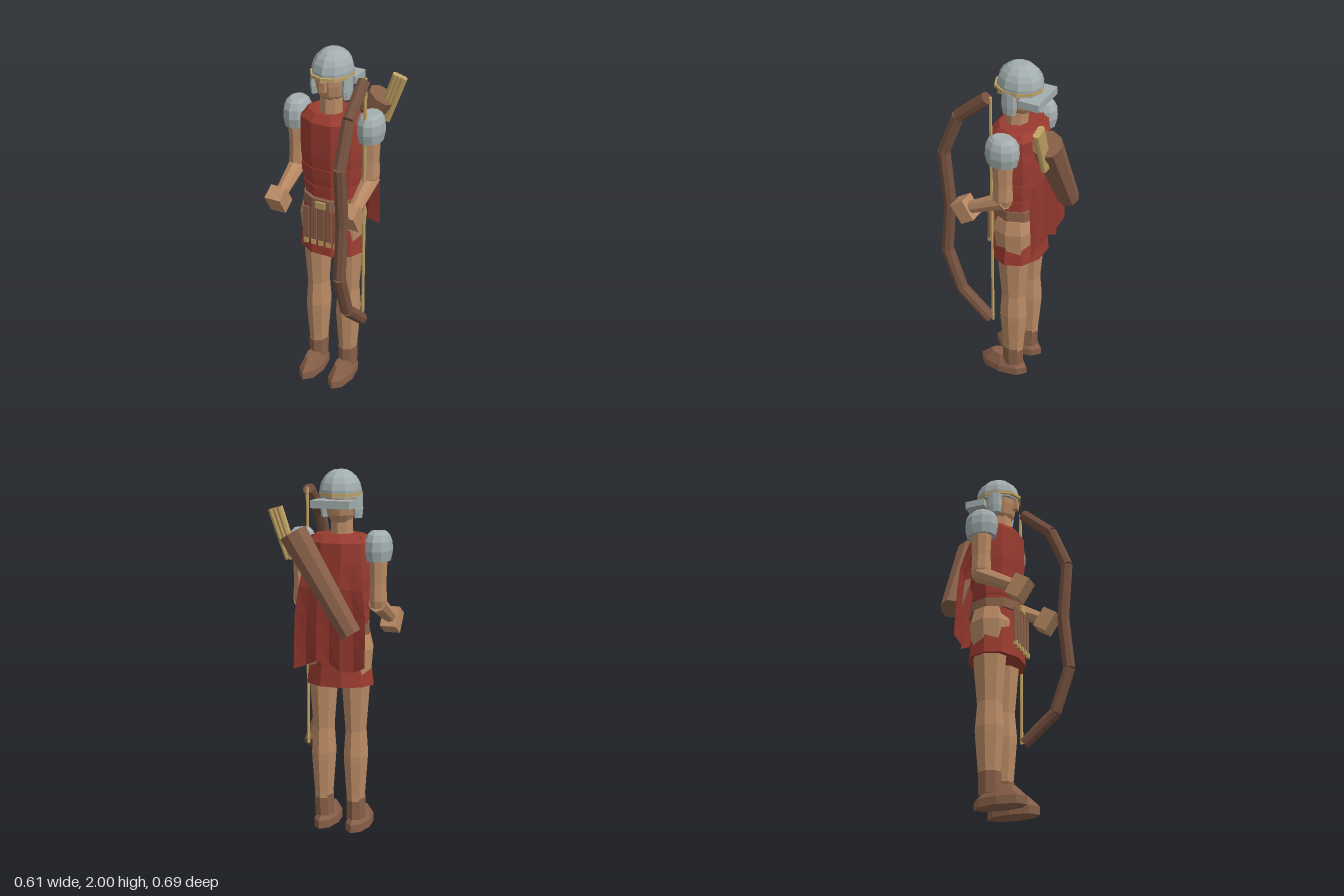
import * as THREE from 'three';

const mat = (name, color) => {
  const m = new THREE.MeshStandardMaterial({ color, flatShading: true });
  m.name = name;
  return m;
};

export function createModel() {
  const root = new THREE.Group();
  root.name = 'archer';
  const body = new THREE.Group();
  body.name = 'body';
  body.position.x = -0.013;
  root.add(body);

  const skin = mat('skin', 0xb98a64);
  const red = mat('red cloth', 0x9a3b30);
  const steel = mat('steel', 0xa3aeae);
  const leather = mat('leather', 0x875f48);
  const wood = mat('bow wood', 0x75513f);
  const gold = mat('brass', 0xbfa163);
  const cloak = mat('cape cloth', 0x8f362c);
  cloak.side = THREE.DoubleSide;

  const add = (name, geo, material, x = 0, y = 0, z = 0, parent = body) => {
    const m = new THREE.Mesh(geo, material);
    m.name = name;
    m.position.set(x, y, z);
    parent.add(m);
    return m;
  };
  // faceted solid of revolution, profile listed bottom to top, stretched in z
  const turned = (name, pts, sides, sz, material, x, z, twist = 0) => {
    const g = new THREE.LatheGeometry(pts.map(p => new THREE.Vector2(...p)), sides);
    g.rotateY(twist);
    g.scale(1, 1, sz);
    return add(name, g, material, x, 0, z);
  };
  // tapered rod between two points
  const rod = (name, a, b, ra, rb, sides, material, parent = body) => {
    const p = new THREE.Vector3(...a), q = new THREE.Vector3(...b);
    const d = q.clone().sub(p);
    const m = add(name, new THREE.CylinderGeometry(rb, ra, d.length(), sides), material, 0, 0, 0, parent);
    m.position.copy(p).add(q).multiplyScalar(0.5);
    m.quaternion.setFromUnitVectors(new THREE.Vector3(0, 1, 0), d.normalize());
    return m;
  };
  const box = (name, w, h, d, material, x, y, z) =>
    add(name, new THREE.BoxGeometry(w, h, d), material, x, y, z);

  const tenth = Math.PI / 10;

  // tunic with stepped waist bands
  turned('tunic', [[0, 1.13], [0.158, 1.13], [0.16, 1.2], [0.168, 1.2], [0.17, 1.245], [0.164, 1.245],
    [0.172, 1.3], [0.18, 1.3], [0.184, 1.355], [0.178, 1.355], [0.186, 1.42], [0.188, 1.5],
    [0.186, 1.62], [0.14, 1.66], [0, 1.66]], 10, 0.8, red, 0, -0.03, tenth);
  turned('skirt', [[0, 0.85], [0.196, 0.84], [0.183, 0.95], [0.17, 1.13], [0, 1.13]], 10, 0.78, red, 0, -0.03, tenth);
  turned('belt', [[0, 1.12], [0.17, 1.12], [0.166, 1.177], [0, 1.177]], 10, 0.92, leather, 0, -0.03, tenth);
  box('buckle', 0.058, 0.038, 0.014, gold, 0, 1.148, 0.121);

  // hanging strips with brass tips
  for (let i = -2; i <= 2; i++) {
    box('apronStrip', 0.034, 0.2, 0.012, leather, i * 0.046, 1.02, 0.112);
    box('stripTip', 0.026, 0.028, 0.016, gold, i * 0.046, 0.912, 0.115);
  }

  for (const s of [-1, 1]) {
    // legs
    const lx = s * 0.095;
    turned('leg', [[0, 0.08], [0.05, 0.08], [0.053, 0.2], [0.068, 0.4], [0.07, 0.44], [0.06, 0.58],
      [0.08, 0.84], [0.098, 1.04], [0.08, 1.12], [0, 1.12]], 8, 1.2, skin, lx, -0.035);
    turned('bootCuff', [[0.05, 0.07], [0.054, 0.07], [0.055, 0.19], [0, 0.192]], 8, 1.2, leather, lx, -0.032);
    const foot = turned('foot', [[0, 0], [0.063, 0], [0.063, 0.045], [0.036, 0.11], [0, 0.112]], 8, 2.33, leather, lx, 0.027);
    const fp = foot.geometry.attributes.position;
    for (let i = 0; i < fp.count; i++) if (fp.getY(i) > 0.1) fp.setZ(i, fp.getZ(i) * 0.85 + 0.01);

    // arms, bent at the elbow
    const ax = s * 0.221;
    turned('shoulderGuard', [[0, 1.525], [0.064, 1.525], [0.075, 1.58], [0.072, 1.63], [0.058, 1.665],
      [0.04, 1.682], [0, 1.682]], 10, 1.3, steel, ax, -0.037);
    turned('upperArm', [[0, 1.27], [0.04, 1.27], [0.05, 1.31], [0.046, 1.4], [0.052, 1.55], [0, 1.6]],
      8, 1.2, skin, ax, -0.038);
    rod('forearm', [ax, 1.295, -0.05], [ax, 1.19, 0.15], 0.05, 0.036, 8, skin);
    const fist = box('fist', 0.093, 0.122, 0.088, skin, ax, 1.166, 0.187);
    fist.rotation.x = 0.57;

    // cheek plates
    turned('cheekPlate', [[0, 1.745], [0.02, 1.745], [0.024, 1.79], [0.022, 1.87], [0, 1.87]],
      8, 1.9, steel, s * 0.094, -0.01);
  }

  // head
  rod('neck', [0, 1.62, -0.005], [0, 1.79, -0.01], 0.066, 0.062, 8, skin);
  turned('head', [[0, 1.715], [0.05, 1.722], [0.074, 1.76], [0.086, 1.82], [0.09, 1.9], [0, 1.94]],
    10, 1.15, skin, 0, -0.018, tenth);
  box('nose', 0.034, 0.055, 0.03, skin, 0, 1.823, 0.083);

  // helmet
  turned('helmetDome', [[0, 1.855], [0.11, 1.855], [0.112, 1.895], [0.103, 1.932], [0.086, 1.962], [0.06, 1.987],
    [0.034, 2], [0, 2]], 10, 1.13, steel, 0, -0.027);
  turned('browBand', [[0.1, 1.863], [0.116, 1.863], [0.116, 1.88], [0.1, 1.88]], 10, 1.16, gold, 0, -0.02);
  box('neckGuard', 0.22, 0.042, 0.115, steel, 0, 1.825, -0.127);

  // cape with soft folds and a ragged hem
  const cape = new THREE.PlaneGeometry(1, 1, 6, 5);
  const cp = cape.attributes.position;
  for (let i = 0; i < cp.count; i++) {
    const u = cp.getX(i) * 2, t = 0.5 - cp.getY(i);
    const half = 0.145 + 0.06 * Math.min(1, t * 1.6);
    const fold = Math.cos(u * 9) * 0.012 * t;
    const hem = t > 0.99 ? Math.sin(u * 4 + 0.6) * 0.03 : 0;
    const z = -0.115 - 0.08 * Math.min(1, t * 3) - 0.01 * t + 0.03 * u * u * (1 - t * 0.5) + fold;
    cp.setXYZ(i, u * half, 1.655 - 0.695 * t + hem, z);
  }
  add('cape', cape, cloak);

  // quiver and arrows
  rod('quiver', [-0.16, 1.155, -0.247], [0.16, 1.68, -0.267], 0.06, 0.081, 8, leather, root);
  for (let i = 0; i < 3; i++) {
    const x = 0.237 + i * 0.023;
    rod('arrow', [x - 0.095, 1.54, -0.267], [x, 1.815 - i * 0.006, -0.269], 0.018, 0.02, 8, gold, root);
  }

  // bow limbs, joined end to end, and the string
  const path = [[1.885, 0.05], [1.735, 0.22], [1.5, 0.312], [1.17, 0.284], [0.855, 0.312], [0.605, 0.225], [0.45, 0.045]];
  for (let i = 0; i < path.length - 1; i++) {
    rod('bowLimb', [0.205, ...path[i]], [0.205, ...path[i + 1]], 0.035, 0.035, 8, wood, root);
  }
  rod('bowString', [0.205, 0.45, 0.03], [0.205, 1.895, 0.03], 0.009, 0.009, 6, gold, root);

  return root;
}
